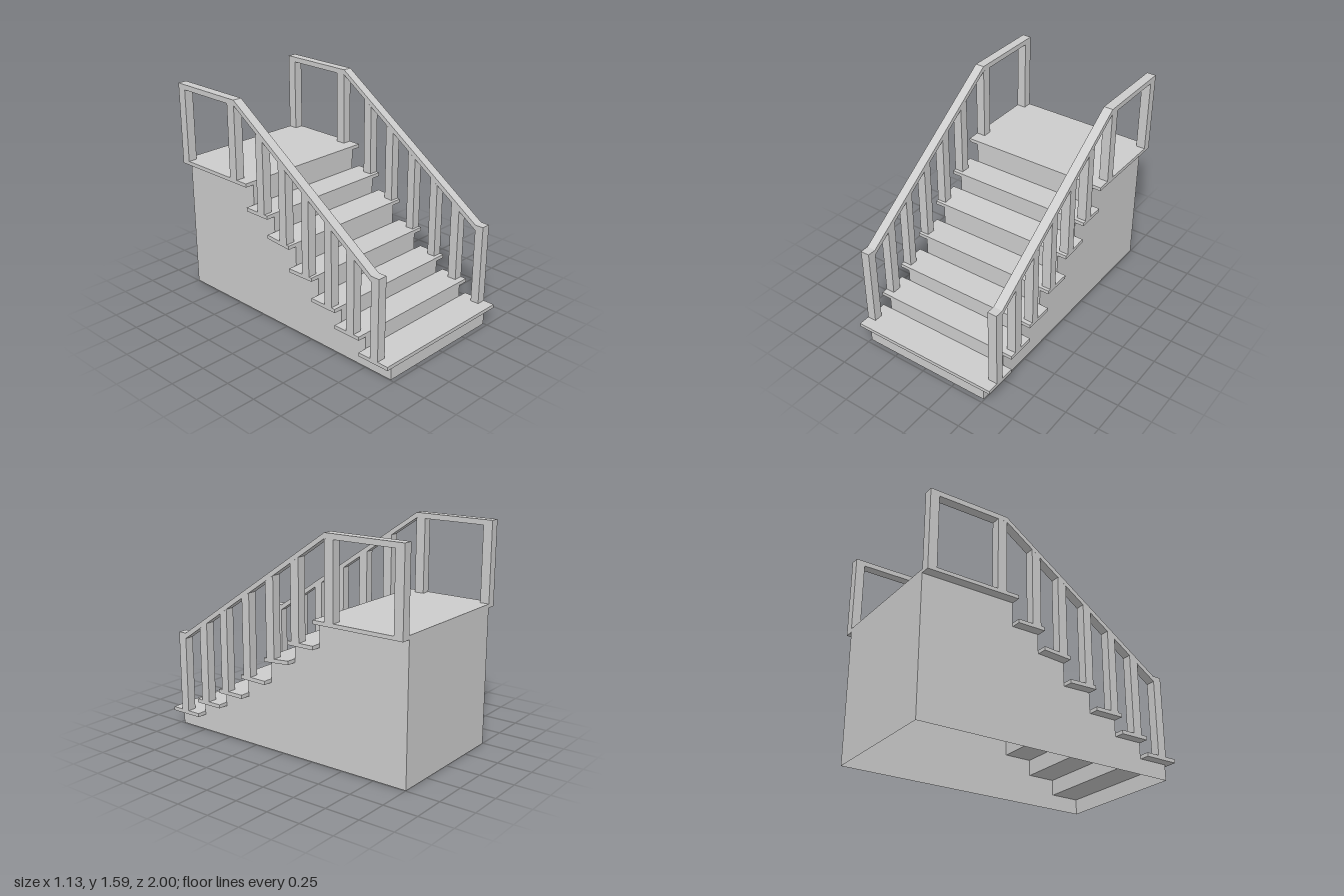
import * as THREE from 'three';

const material = new THREE.MeshStandardMaterial({ color: 0xcccccc, flatShading: true, side: THREE.DoubleSide });

const BODY = 0.495; // half width of the stair body
const OUTER = 0.565; // half width of treads and railings
const BACK = -1;
const THICK = 0.027; // tread thickness

// front edge z, top height at the front, top height at the back
const STEPS = [
  [1.0, 0.14, 0.14],
  [0.75, 0.255, 0.255],
  [0.535, 0.373, 0.373],
  [0.32, 0.523, 0.518],
  [0.107, 0.685, 0.7],
  [-0.102, 0.84, 0.84],
  [-0.31, 1.015, 1.015],
];

const shapeOf = (points) => new THREE.Shape(points.map(([z, y]) => new THREE.Vector2(z, y)));

// Extrudes a (z, y) outline along x between x0 and x1
function profile(name, points, x0, x1) {
  const g = new THREE.ExtrudeGeometry(shapeOf(points), { depth: x1 - x0, bevelEnabled: false });
  g.rotateY(-Math.PI / 2).translate(x1, 0, 0);
  const mesh = new THREE.Mesh(g, material);
  mesh.name = name;
  return mesh;
}

// Upright panel across the body, facing front or back
function panel(name, z, y0, y1, facing) {
  const g = new THREE.PlaneGeometry(2 * BODY, y1 - y0);
  if (facing < 0) g.rotateY(Math.PI);
  g.translate(0, (y0 + y1) / 2, z);
  const mesh = new THREE.Mesh(g, material);
  mesh.name = name;
  return mesh;
}

function createTreadsAndBody() {
  const group = new THREE.Group();
  group.name = 'stairs';
  const outline = [[BACK, 0], [0.97, 0]];

  STEPS.forEach(([front, yFront, yBack], i) => {
    const last = i === STEPS.length - 1;
    const back = last ? BACK : STEPS[i + 1][0];
    group.add(profile(last ? 'landing' : 'tread', [
      [front, yFront - THICK], [front, yFront], [back, yBack], [back, yBack - THICK],
    ], -OUTER, OUTER));

    // Riser below the tread
    const riserZ = i === 0 ? 0.97 : front - 0.004;
    const riserBase = i === 0 ? 0 : STEPS[i - 1][2] - THICK;
    group.add(panel('riser', riserZ, riserBase, yFront - THICK, 1));
    outline.push([riserZ, yFront - THICK], [last ? BACK : back - 0.004, yBack - THICK]);
  });

  // Stepped side walls, hollow and open underneath
  for (const side of [1, -1]) {
    const g = new THREE.ShapeGeometry(shapeOf(outline));
    g.rotateY(-Math.PI / 2).translate(side * BODY, 0, 0);
    const wall = new THREE.Mesh(g, material);
    wall.name = side > 0 ? 'leftWall' : 'rightWall';
    group.add(wall);
  }
  group.add(panel('backWall', BACK, 0, 1.015 - THICK, -1));
  return group;
}

// Front and back z of each post, and the height it stands on
const POSTS = [
  [0.915, 0.85, 0.14],
  [0.705, 0.637, 0.255],
  [0.505, 0.443, 0.373],
  [0.297, 0.233, 0.52],
  [0.085, 0.018, 0.685],
  [-0.13, -0.197, 0.84],
  [-0.405, -0.475, 1.015],
  [-0.933, BACK, 1.015],
];

// Underside of the handrail
const railBottom = (z) => Math.min(1.55, 0.69 + (0.85 - z) * 0.685);

function createRailing(side) {
  const group = new THREE.Group();
  group.name = side > 0 ? 'leftRailing' : 'rightRailing';
  const x0 = side > 0 ? 0.497 : -OUTER;
  const x1 = side > 0 ? OUTER : -0.497;

  // Handrail: flat start, slope, level run over the landing
  group.add(profile('handrail', [
    [0.915, 0.69], [0.915, 0.73], [0.85, 0.73], [-0.405, 1.588], [BACK, 1.588],
    [BACK, 1.55], [-0.405, 1.55], [0.85, 0.69],
  ], x0, x1));

  POSTS.forEach(([front, back, base], i) => {
    group.add(profile('post', [
      [front, base - 0.004],
      [front, i === 0 ? 0.69 : railBottom(front)],
      [back, railBottom(back)],
      [back, base - 0.004],
    ], x0, x1));
  });
  return group;
}

export function createModel() {
  const model = new THREE.Group();
  model.name = 'staircase';
  model.add(createTreadsAndBody(), createRailing(1), createRailing(-1));
  return model;
}
